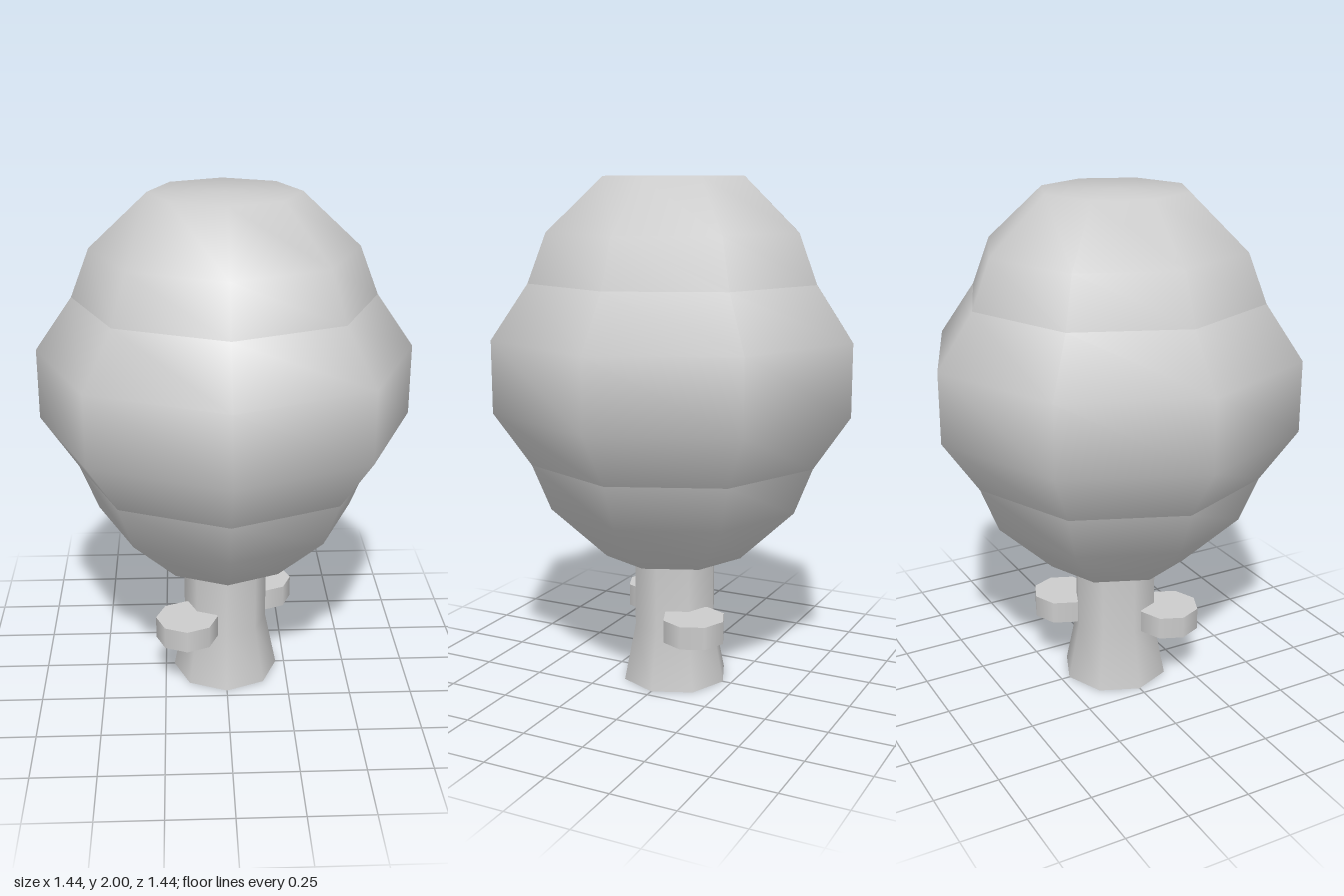
import * as THREE from 'three';

const SIDES = 8;

export function createModel() {
  const group = new THREE.Group();
  const material = new THREE.MeshStandardMaterial({ color: 0xcccccc });

  const add = (name, geometry, x = 0, y = 0, z = 0) => {
    const mesh = new THREE.Mesh(geometry, material);
    mesh.name = name;
    mesh.position.set(x, y, z);
    group.add(mesh);
  };

  // Smooth octagonal ring from a [radius, height] profile, listed bottom to top
  const turned = (profile) =>
    new THREE.LatheGeometry(profile.map(([r, y]) => new THREE.Vector2(r, y)), SIDES);

  // Trunk, flared at the foot
  add('trunkBottom', turned([[0, 0], [0.215, 0]]).scale(1, 1, 1));
  add('trunkFlare', turned([[0.215, 0], [0.168, 0.23], [0.168, 0.56]]));

  // Foliage: separate bands keep the creases between them sharp
  add('foliageUnderside', turned([[0, 0.53], [0.285, 0.53]]));
  add('foliageLower', turned([[0.285, 0.53], [0.505, 0.74], [0.577, 0.92]]));
  add('foliageMiddle', turned([[0.577, 0.92], [0.72, 1.13], [0.72, 1.405], [0.577, 1.61]]));
  add('foliageCrown', turned([[0.577, 1.61], [0.505, 1.795], [0.285, 2], [0, 2]]));

  // Shelf fungi on opposite sides of the trunk
  for (const s of [-1, 1]) {
    add(s < 0 ? 'frontShelfFungus' : 'backShelfFungus',
      new THREE.CylinderGeometry(0.125, 0.125, 0.09, SIDES), s * 0.16, 0.275, -s * 0.16);
  }

  return group;
}
